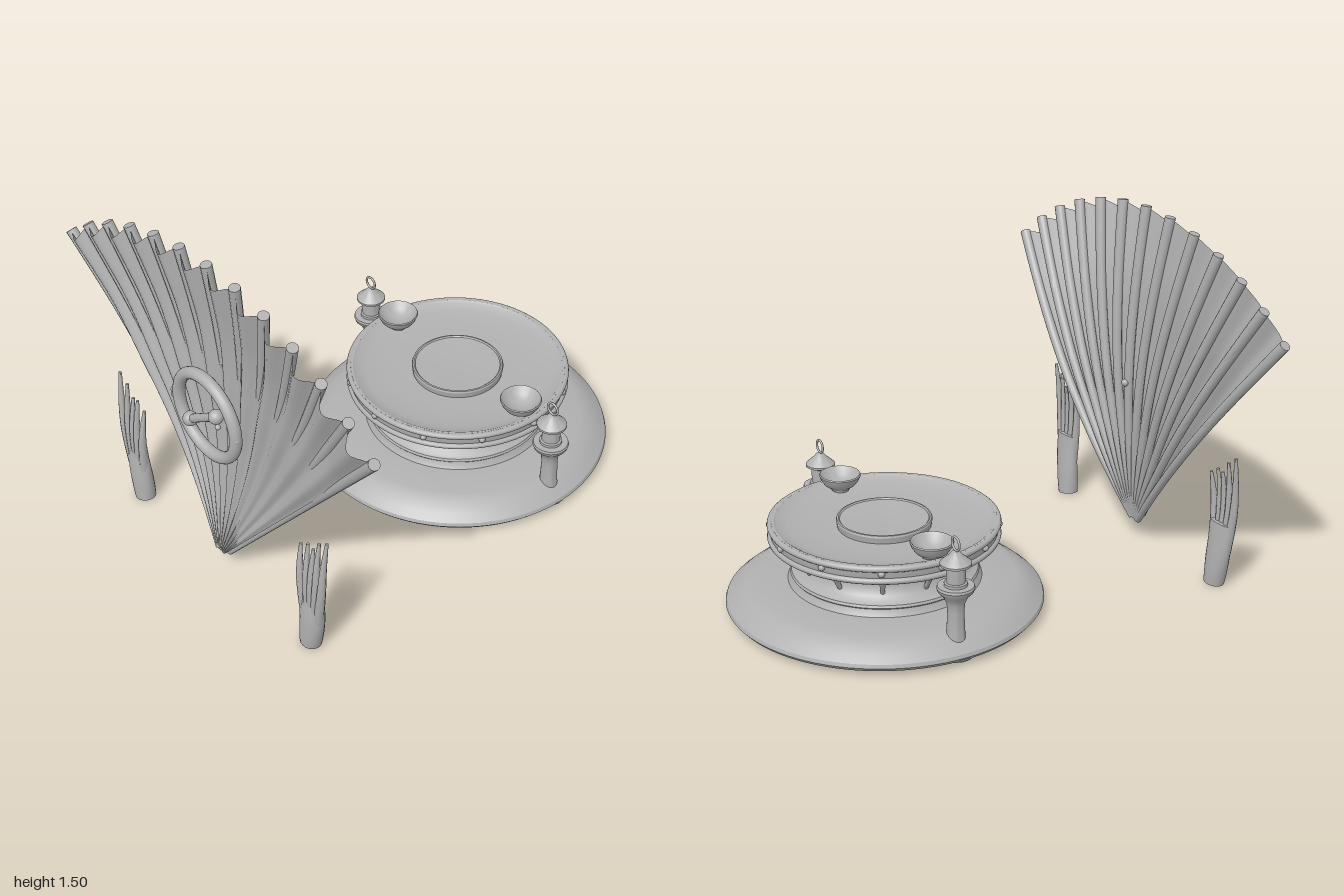
import * as THREE from 'three';
import { toCreasedNormals } from 'three/addons/utils/BufferGeometryUtils.js';

const grey = new THREE.MeshStandardMaterial({ color: 0xb0b0b0 });
grey.name = 'plain grey';
const greySheet = new THREE.MeshStandardMaterial({ color: 0xb0b0b0, side: THREE.DoubleSide });
greySheet.name = 'plain grey sheet';
const V = (x, y, z) => new THREE.Vector3(x, y, z);

function add(parent, name, geometry, x = 0, y = 0, z = 0, material = grey) {
  const mesh = new THREE.Mesh(geometry, material);
  mesh.name = name;
  mesh.position.set(x, y, z);
  parent.add(mesh);
  return mesh;
}

// Turned solid from [radius, height] pairs
function turned(profile, segments = 64) {
  const points = profile.map(([r, y]) => new THREE.Vector2(r, y));
  return toCreasedNormals(new THREE.LatheGeometry(points, segments), 0.5);
}

// Capped tube whose radius follows radiusAt(t)
function taperTube(points, radiusAt, n = 20, sides = 10) {
  const curve = new THREE.CatmullRomCurve3(points);
  const geometry = new THREE.TubeGeometry(curve, n, 1, sides);
  const pos = geometry.attributes.position;
  const p = V(0, 0, 0);
  for (let i = 0; i < pos.count; i++) {
    const ring = Math.floor(i / (sides + 1));
    const end = ring === 0 || ring === n;
    const centre = curve.getPointAt(ring / n);
    p.fromBufferAttribute(pos, i).sub(centre);
    // the outermost rings collapse onto their neighbours' centres to close the ends
    const base = end ? curve.getPointAt(ring === 0 ? 1 / n : 1 - 1 / n) : centre;
    p.multiplyScalar(end ? 0 : radiusAt(ring / n)).add(base);
    pos.setXYZ(i, p.x, p.y, p.z);
  }
  return toCreasedNormals(geometry, 0.9);
}

// Pleated fan: radius, half angle and backward bow shared by ribs and cloth
const FAN = { y: 0.06, r0: 0.03, r1: 1.435, half: THREE.MathUtils.degToRad(40), ribs: 13 };
const bow = t => 0.905 - 0.066 * Math.sin(Math.PI * Math.pow(t, 0.95));

function fanPoint(u, t, r, dz = 0) {
  const a = (u * 2 - 1) * FAN.half;
  return V(Math.sin(a) * r, FAN.y + Math.cos(a) * r, bow(t) + dz);
}

function makeFan() {
  const fan = new THREE.Group();
  fan.name = 'fan';
  for (let i = 0; i < FAN.ribs; i++) {
    const points = [];
    for (let k = 0; k <= 8; k++) {
      const t = k / 8;
      // the end rings fold inward, so the path runs slightly long
      const r = THREE.MathUtils.lerp(FAN.r0 - 0.04, FAN.r1 + 0.04, t);
      points.push(fanPoint(i / (FAN.ribs - 1), t, r));
    }
    add(fan, 'fanRib', taperTube(points, t => 0.016 + 0.007 * t, 36, 12));
  }
  // Cloth puffs forward between ribs and dips at its upper edge
  const cols = (FAN.ribs - 1) * 10, rows = 28;
  const cloth = new THREE.PlaneGeometry(1, 1, cols, rows);
  const pos = cloth.attributes.position;
  for (let i = 0; i < pos.count; i++) {
    const u = (i % (cols + 1)) / cols;
    const t = 1 - Math.floor(i / (cols + 1)) / rows;
    const puff = Math.sin(Math.PI * u * (FAN.ribs - 1)) ** 2;
    const r = THREE.MathUtils.lerp(FAN.r0 + 0.01, FAN.r1 - 0.01 - 0.035 * puff, t);
    const cover = 0.022 * (1 - THREE.MathUtils.smoothstep(t, 0.55, 0.85));
    const p = fanPoint(u, t, r, cover + puff * (0.008 + 0.03 * t));
    pos.setXYZ(i, p.x, p.y, p.z);
  }
  cloth.computeVertexNormals();
  add(fan, 'fanCloth', cloth, 0, 0, 0, greySheet);
  add(fan, 'backKnob', new THREE.SphereGeometry(0.016, 16, 12), 0, 0.73, 0.82);
  return fan;
}

function makeRingOrnament() {
  const ornament = new THREE.Group();
  ornament.name = 'ringOrnament';
  add(ornament, 'ring', new THREE.TorusGeometry(0.178, 0.025, 16, 64), 0, 0.81, 0.945);
  const a = V(-0.087, 0.75, 0.964), b = V(0.087, 0.87, 0.964);
  const bar = add(ornament, 'bar', new THREE.CylinderGeometry(0.017, 0.017, a.distanceTo(b), 16));
  bar.position.copy(a).add(b).multiplyScalar(0.5);
  bar.quaternion.setFromUnitVectors(V(0, 1, 0), b.clone().sub(a).normalize());
  for (const p of [a, b]) add(ornament, 'barKnob', new THREE.SphereGeometry(0.03, 20, 14), p.x, p.y, p.z);
  for (const y of [0.8, 0.825]) add(ornament, 'sideBead', new THREE.SphereGeometry(0.014, 12, 8), -0.195, y, 0.955);
  add(ornament, 'sideBead', new THREE.SphereGeometry(0.014, 12, 8), 0.19, 0.81, 0.95);
  add(ornament, 'pin', new THREE.SphereGeometry(0.012, 12, 8), 0, 0.725, 0.9);
  return ornament;
}

// Open hand with a flattened palm and five slender fingers
function makeHand() {
  const hand = new THREE.Group();
  hand.name = 'hand';
  const palm = taperTube([V(0.547, -0.012, 0.913), V(0.56, 0.1, 0.915), V(0.57, 0.2, 0.918), V(0.572, 0.3, 0.915)],
    t => 0.044 + 0.022 * Math.sin(Math.min(1, t * 1.3) * Math.PI / 2), 20, 20);
  const pos = palm.attributes.position;
  for (let i = 0; i < pos.count; i++) {
    const flat = THREE.MathUtils.lerp(0.92, 0.28, THREE.MathUtils.clamp(pos.getY(i) / 0.28, 0, 1));
    pos.setZ(i, 0.913 + (pos.getZ(i) - 0.913) * flat);
  }
  add(hand, 'palm', toCreasedNormals(palm, 0.9));
  const fingers = [
    [0.605, 0.638, 0.66, 0.6], [0.588, 0.607, 0.613, 0.565], [0.57, 0.577, 0.578, 0.51],
    [0.553, 0.55, 0.546, 0.515], [0.53, 0.513, 0.502, 0.485]];
  for (const [x0, x1, x2, top] of fingers) {
    const path = [V(x0, 0.13, 0.92), V(x1, 0.33, 0.925), V((x1 + x2) / 2, (0.33 + top) / 2, 0.92), V(x2, top + 0.02, 0.905)];
    add(hand, 'finger', taperTube(path, t => 0.02 - 0.015 * t * t, 20, 10));
  }
  return hand;
}

function makeLantern() {
  const lantern = new THREE.Group();
  lantern.name = 'lantern';
  add(lantern, 'foot', turned([[0, 0.012], [0.07, 0.012], [0.075, 0.02], [0.07, 0.03], [0, 0.03]], 32));
  add(lantern, 'post', turned([[0, 0.03], [0.042, 0.03], [0.036, 0.12], [0.033, 0.2], [0.036, 0.235],
    [0.05, 0.265], [0.07, 0.285], [0.075, 0.3], [0.072, 0.31], [0, 0.31]], 32));
  add(lantern, 'lamp', turned([[0, 0.31], [0.046, 0.31], [0.046, 0.322], [0.038, 0.325], [0.038, 0.385], [0.046, 0.39], [0.046, 0.4], [0, 0.4]], 32));
  add(lantern, 'roof', turned([[0, 0.396], [0.062, 0.396], [0.062, 0.405], [0.046, 0.42], [0.028, 0.435], [0.016, 0.45], [0, 0.456]], 32));
  add(lantern, 'hangingRing', new THREE.TorusGeometry(0.027, 0.005, 8, 32), 0, 0.482, 0);
  return lantern;
}

function makeTable() {
  const table = new THREE.Group();
  table.name = 'roundTable';
  add(table, 'base', turned([[0, 0.01], [0.6, 0.01], [0.635, 0.018], [0.65, 0.035], [0.645, 0.05], [0.615, 0.075],
    [0.57, 0.105], [0.53, 0.116], [0.4, 0.122], [0, 0.122]], 96));
  add(table, 'pedestal', turned([[0, 0.115], [0.4, 0.115], [0.385, 0.135], [0.38, 0.15], [0.385, 0.156], [0.38, 0.166],
    [0.365, 0.172], [0.345, 0.19], [0.33, 0.22], [0.328, 0.25], [0.338, 0.28], [0.36, 0.302], [0, 0.302]], 96));
  add(table, 'dishTop', turned([[0, 0.3], [0.455, 0.3], [0.46, 0.31], [0.46, 0.365], [0.455, 0.373], [0.445, 0.373],
    [0.435, 0.366], [0.39, 0.354], [0.3, 0.345], [0.2, 0.342], [0, 0.342]], 96));
  add(table, 'centreDisc', turned([[0, 0.34], [0.19, 0.34], [0.195, 0.368], [0.192, 0.376], [0.185, 0.377], [0.18, 0.372], [0.1, 0.366], [0, 0.364]], 64));
  for (const y of [0.31, 0.361]) {
    add(table, 'rimBand', new THREE.TorusGeometry(0.46, 0.013, 10, 96).rotateX(Math.PI / 2), 0, y, 0);
  }
  // Studs on the rim and slanted struts beneath it
  for (let i = 0; i < 12; i++) {
    const a = i * Math.PI / 6, s = Math.sin(a), c = Math.cos(a);
    add(table, 'rimStud', new THREE.SphereGeometry(0.014, 12, 8), 0.464 * s, 0.342, 0.464 * c);
    const strut = [V(0.33 * s, 0.19, 0.33 * c), V(0.365 * s, 0.25, 0.365 * c), V(0.405 * s, 0.315, 0.405 * c)];
    add(table, 'strut', taperTube(strut, t => 0.009 + 0.006 * t, 10, 8));
  }
  for (const side of [-1, 1]) {
    add(table, 'bowl', turned([[0, 0.345], [0.035, 0.345], [0.04, 0.36], [0.065, 0.378], [0.08, 0.4], [0.087, 0.418], [0.084, 0.424],
      [0.078, 0.418], [0.062, 0.395], [0.035, 0.38], [0, 0.375]], 40), side * 0.385, 0, 0);
    const lantern = makeLantern();
    lantern.position.x = side * 0.567;
    table.add(lantern);
  }
  table.position.z = -0.35;
  return table;
}

export function createModel() {
  const model = new THREE.Group();
  model.name = 'fanAndTable';
  model.add(makeTable(), makeFan(), makeRingOrnament());
  const left = makeHand(), right = makeHand();
  left.name = 'leftHand';
  right.name = 'rightHand';
  right.scale.x = -1;
  model.add(left, right);
  return model;
}
